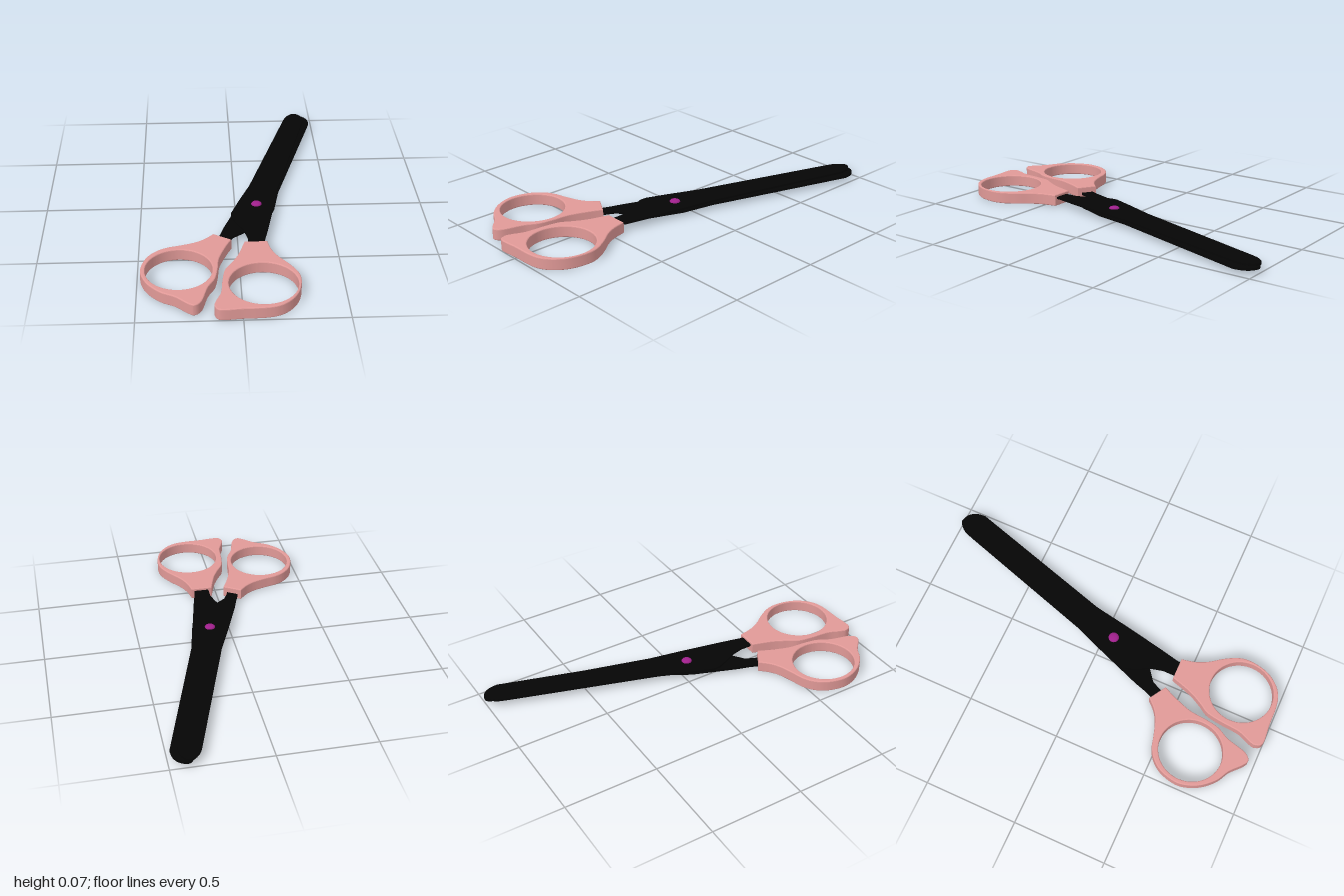
import * as THREE from 'three';
import { toCreasedNormals } from 'three/addons/utils/BufferGeometryUtils.js';

const pink = new THREE.MeshStandardMaterial({ color: 0xe09997 });
const black = new THREE.MeshStandardMaterial({ color: 0x050505 });
const purple = new THREE.MeshStandardMaterial({ color: 0xa0208c });

// Outlines are given as [x, z], clockwise seen from above.
const toShape = (p) => new THREE.Vector2(p[0], -p[1]);

// Extrudes a plan outline upwards from y0 to y1 with rounded edges.
function slab(name, shape, y0, y1, bevel, material) {
  let geo = new THREE.ExtrudeGeometry(shape, {
    depth: y1 - y0 - 2 * bevel,
    bevelEnabled: true,
    bevelThickness: bevel,
    bevelSize: bevel,
    bevelOffset: -bevel,
    bevelSegments: 3,
    curveSegments: 64,
  });
  geo.rotateX(-Math.PI / 2);
  geo.translate(0, y0 + bevel, 0);
  geo = toCreasedNormals(geo, 0.25);
  const mesh = new THREE.Mesh(geo, material);
  mesh.name = name;
  return mesh;
}

// Finger grip: straight neck edge (first two points), curved outline, oval hole.
function handle(name, outline, hole, y0, y1) {
  const [neckA, ...rest] = outline.map(toShape);
  const curve = new THREE.SplineCurve([...rest, neckA]);
  const shape = new THREE.Shape([neckA, ...curve.getPoints(160).slice(0, -1)]);
  // The hole winds against the clockwise outline so its wall faces inwards
  const opening = new THREE.Path();
  opening.absellipse(hole.x, -hole.z, hole.rx, hole.rz, 0, Math.PI * 2, false);
  shape.holes.push(opening);
  return slab(name, shape, y0, y1, 0.006, pink);
}

// Blade: polygon sides with a rounded tip.
function blade(name, rightSide, tip, leftSide, y0, y1) {
  const tipCurve = new THREE.SplineCurve(tip.map(toShape)).getPoints(20);
  const shape = new THREE.Shape([...rightSide.map(toShape), ...tipCurve, ...leftSide.map(toShape)]);
  return slab(name, shape, y0, y1, 0.001, black);
}

export function createModel() {
  const model = new THREE.Group();
  model.name = 'scissors';

  // Grips
  model.add(handle('rightHandle', [
    [0.03, 0.435], [0.145, 0.435], [0.16, 0.505], [0.19, 0.57], [0.24, 0.64], [0.277, 0.71],
    [0.286, 0.78], [0.269, 0.865], [0.23, 0.93], [0.175, 0.973], [0.105, 0.99], [0, 0.993],
    [-0.105, 0.999], [-0.133, 0.965], [-0.125, 0.925], [-0.1, 0.86], [-0.09, 0.76],
    [-0.075, 0.675], [-0.04, 0.615], [-0.005, 0.545],
  ], { x: 0.105, z: 0.793, rx: 0.166, rz: 0.169 }, 0, 0.063));

  model.add(handle('leftHandle', [
    [-0.125, 0.365], [-0.035, 0.42], [-0.065, 0.485], [-0.1, 0.585], [-0.11, 0.675],
    [-0.125, 0.755], [-0.16, 0.825], [-0.19, 0.93], [-0.225, 0.963], [-0.26, 0.945],
    [-0.315, 0.895], [-0.385, 0.855], [-0.445, 0.79], [-0.478, 0.715], [-0.482, 0.65],
    [-0.458, 0.57], [-0.415, 0.515], [-0.36, 0.482], [-0.29, 0.463], [-0.22, 0.44], [-0.17, 0.41],
  ], { x: -0.298, z: 0.672, rx: 0.163, rz: 0.168 }, 0.004, 0.067));

  // Upper blade runs from the right grip, lower blade from the left grip
  model.add(blade('upperBlade',
    [[0.05, 0.5], [0.13, 0.5], [0.13, 0.42], [0.155, 0.31], [0.2, 0.09], [0.235, -0.1]],
    [[0.447, -0.9], [0.443, -0.955], [0.42, -0.99], [0.39, -0.998], [0.35, -0.96], [0.328, -0.905]],
    [[0.085, -0.14], [0.02, 0.02], [-0.025, 0.14], [-0.025, 0.18], [0, 0.24], [0.035, 0.31], [0.05, 0.37]],
    0.037, 0.049));

  model.add(blade('lowerBlade',
    [[-0.13, 0.43], [-0.07, 0.45], [-0.045, 0.385], [-0.025, 0.345], [0.035, 0.3],
      [0.14, 0.25], [0.205, 0.08], [0.24, -0.1]],
    [[0.483, -0.9], [0.475, -0.95], [0.447, -0.988], [0.405, -1], [0.38, -0.97], [0.363, -0.9]],
    [[0.12, -0.14], [0.02, 0.03], [-0.045, 0.2], [-0.068, 0.26], [-0.09, 0.33]],
    0.022, 0.035));

  // Rivet with rounded heads above and below the blades
  const profile = [
    [0, 0.013], [0.014, 0.014], [0.023, 0.017], [0.028, 0.023],
    [0.028, 0.05], [0.023, 0.056], [0.014, 0.059], [0, 0.06],
  ].map(([r, y]) => new THREE.Vector2(r, y));
  const rivet = new THREE.Mesh(new THREE.LatheGeometry(profile, 32), purple);
  rivet.position.set(0.112, 0, 0.055);
  rivet.name = 'pivotRivet';
  model.add(rivet);

  return model;
}
